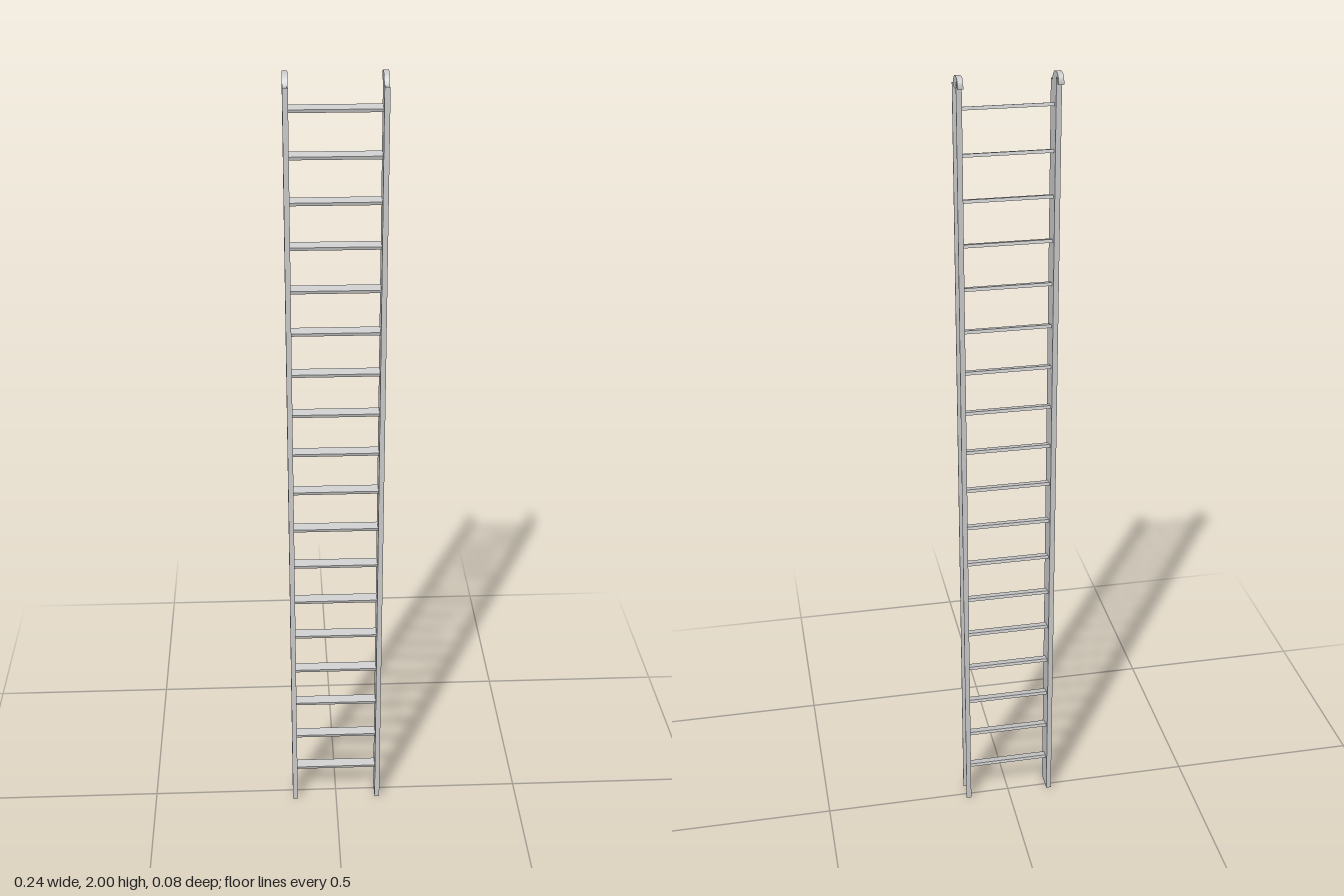
import * as THREE from 'three';

const material = new THREE.MeshStandardMaterial({ color: 0xcccccc, flatShading: true });

const INNER = 0.107, OUTER = 0.12;   // rail extent in x
const BACK = -0.018, FRONT = 0.038;  // rail extent in z
const WALL = 0.003, RAIL_TOP = 1.975;

// Channel section, open towards the outside of the ladder
function railGeometry(side) {
  const points = [
    [INNER, FRONT], [OUTER, FRONT], [OUTER, FRONT - WALL], [INNER + WALL, FRONT - WALL],
    [INNER + WALL, BACK + WALL], [OUTER, BACK + WALL], [OUTER, BACK], [INNER, BACK],
  ].map(([x, z]) => new THREE.Vector2(side * x, -z));
  const geometry = new THREE.ExtrudeGeometry(new THREE.Shape(points), { depth: RAIL_TOP, bevelEnabled: false });
  return geometry.rotateX(-Math.PI / 2);
}

// Hook profile drawn in (z, y), extruded across the rail width
function hookGeometry() {
  const s = new THREE.Shape();
  s.moveTo(0.024, RAIL_TOP - 0.004);
  s.lineTo(0.024, RAIL_TOP);
  s.quadraticCurveTo(0.016, 1.998, -0.004, 2);
  s.lineTo(-0.02, 2);
  s.quadraticCurveTo(-0.04, 1.999, -0.039, 1.976);
  s.lineTo(-0.03, 1.976);
  s.quadraticCurveTo(-0.03, 1.99, -0.021, 1.99);
  s.quadraticCurveTo(BACK, 1.988, BACK, RAIL_TOP - 0.004);
  const width = OUTER - INNER;
  const geometry = new THREE.ExtrudeGeometry(s, { depth: width, bevelEnabled: false, curveSegments: 8 });
  return geometry.translate(0, 0, -width / 2).rotateY(-Math.PI / 2);
}

export function createModel() {
  const ladder = new THREE.Group();
  ladder.name = 'ladder';

  const add = (name, geometry) => {
    const mesh = new THREE.Mesh(geometry, material);
    mesh.name = name;
    ladder.add(mesh);
    return mesh;
  };

  // Side rails with hooks at the top
  for (const [side, label] of [[1, 'left'], [-1, 'right']]) {
    add(label + 'Rail', railGeometry(side));
    const hook = add(label + 'Hook', hookGeometry());
    hook.position.x = side * (INNER + OUTER) / 2;
  }

  // Flat rungs, tilted to lie level when the ladder leans
  const rungGeometry = new THREE.BoxGeometry(2 * INNER + WALL, 0.008, 0.025);
  const count = 18;
  for (let i = 0; i < count; i++) {
    const rung = add('rung' + (i + 1), rungGeometry);
    rung.position.set(0, 0.096 + (i * (1.922 - 0.096)) / (count - 1), 0.009);
    rung.rotation.x = THREE.MathUtils.degToRad(14);
  }

  return ladder;
}
